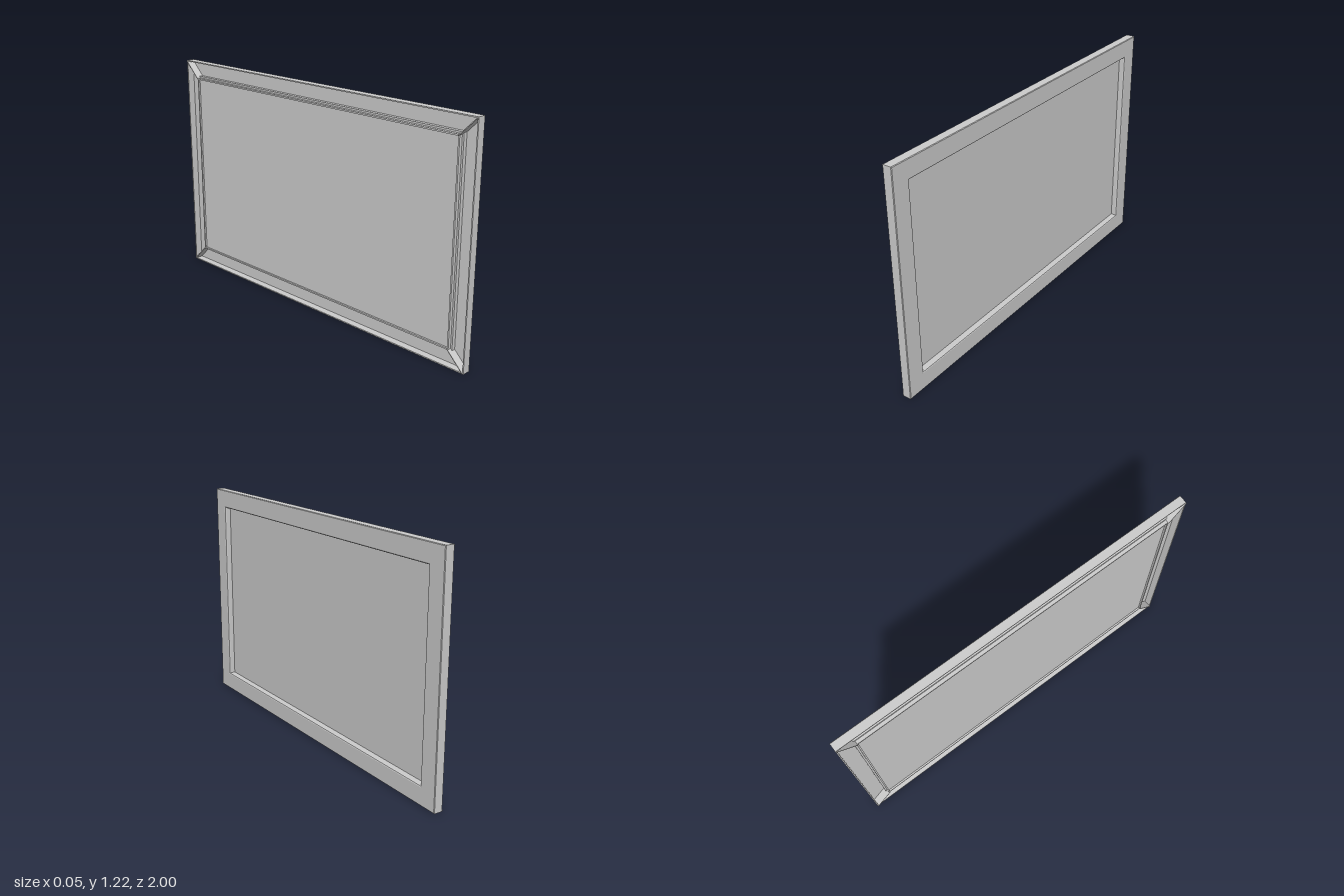
import * as THREE from 'three';

const HALF_W = 1, HEIGHT = 1.22, RAIL = 0.1;
const material = new THREE.MeshStandardMaterial({ color: 0xcccccc });

// Rail cross-section as [distance in from the outer edge, x]: a hollow moulding
// open to the back, with a stepped lip that holds the panel.
const profile = [
  [0, -0.022], [0, 0.022], [0.003, 0.025],
  [0.092, 0.025], [0.097, 0.023], [0.1, 0.018],
  [0.1, -0.022], [0.092, -0.022], [0.092, -0.004],
  [0.083, -0.004], [0.083, 0.017],
  [0.006, 0.017], [0.006, -0.022],
];

// Corners of the rectangle as signs of z and y, counter-clockwise seen from +x
const corners = [[1, -1], [-1, -1], [-1, 1], [1, 1]];

function railGeometry(from, to) {
  const point = ([sz, sy], [d, x]) =>
    [x, HEIGHT / 2 + sy * (HEIGHT / 2 - d), sz * (HALF_W - d)];
  const positions = [];
  profile.forEach((p, i) => {
    const q = profile[(i + 1) % profile.length];
    const a = point(from, p), b = point(to, p), c = point(to, q), d = point(from, q);
    positions.push(...a, ...b, ...c, ...a, ...c, ...d);
  });
  const geometry = new THREE.BufferGeometry();
  geometry.setAttribute('position', new THREE.Float32BufferAttribute(positions, 3));
  geometry.computeVertexNormals();
  return geometry;
}

// Thin plate closing the mitre, rounded at its back corners
function plateGeometry() {
  const half = RAIL * Math.SQRT1_2 - 0.002, back = 0.027, front = -0.022, r = 0.005;
  const s = new THREE.Shape();
  s.moveTo(-half, front);
  s.lineTo(half, front);
  s.lineTo(half, back - r);
  s.quadraticCurveTo(half, back, half - r, back);
  s.lineTo(-half + r, back);
  s.quadraticCurveTo(-half, back, -half, back - r);
  const geometry = new THREE.ExtrudeGeometry(s, { depth: 0.004, bevelEnabled: false, curveSegments: 4 });
  geometry.translate(0, 0, -0.002);
  geometry.rotateY(-Math.PI / 2); // length along z, thickness along x
  geometry.rotateZ(Math.PI / 2);  // depth towards -x, thickness along y
  return geometry;
}

export function createModel() {
  const group = new THREE.Group();
  const add = (name, geometry) => {
    const mesh = new THREE.Mesh(geometry, material);
    mesh.name = name;
    group.add(mesh);
    return mesh;
  };

  // Mitred rails
  ['bottomRail', 'backRail', 'topRail', 'frontRail'].forEach((name, k) =>
    add(name, railGeometry(corners[k], corners[(k + 1) % 4])));

  // Diagonal plates in the corners, standing slightly proud at the back
  const plate = plateGeometry();
  corners.forEach(([sz, sy]) => {
    const mesh = add('cornerPlate', plate);
    mesh.position.set(0, HEIGHT / 2 + sy * (HEIGHT / 2 - RAIL / 2), sz * (HALF_W - RAIL / 2));
    mesh.rotation.x = -sz * sy * Math.PI / 4;
  });

  // Thin panel set back inside the frame
  const panel = add('panel', new THREE.BoxGeometry(0.005, HEIGHT - 2 * RAIL + 0.008, 2 * (HALF_W - RAIL) + 0.008));
  panel.position.set(-0.01, HEIGHT / 2, 0);

  return group;
}
